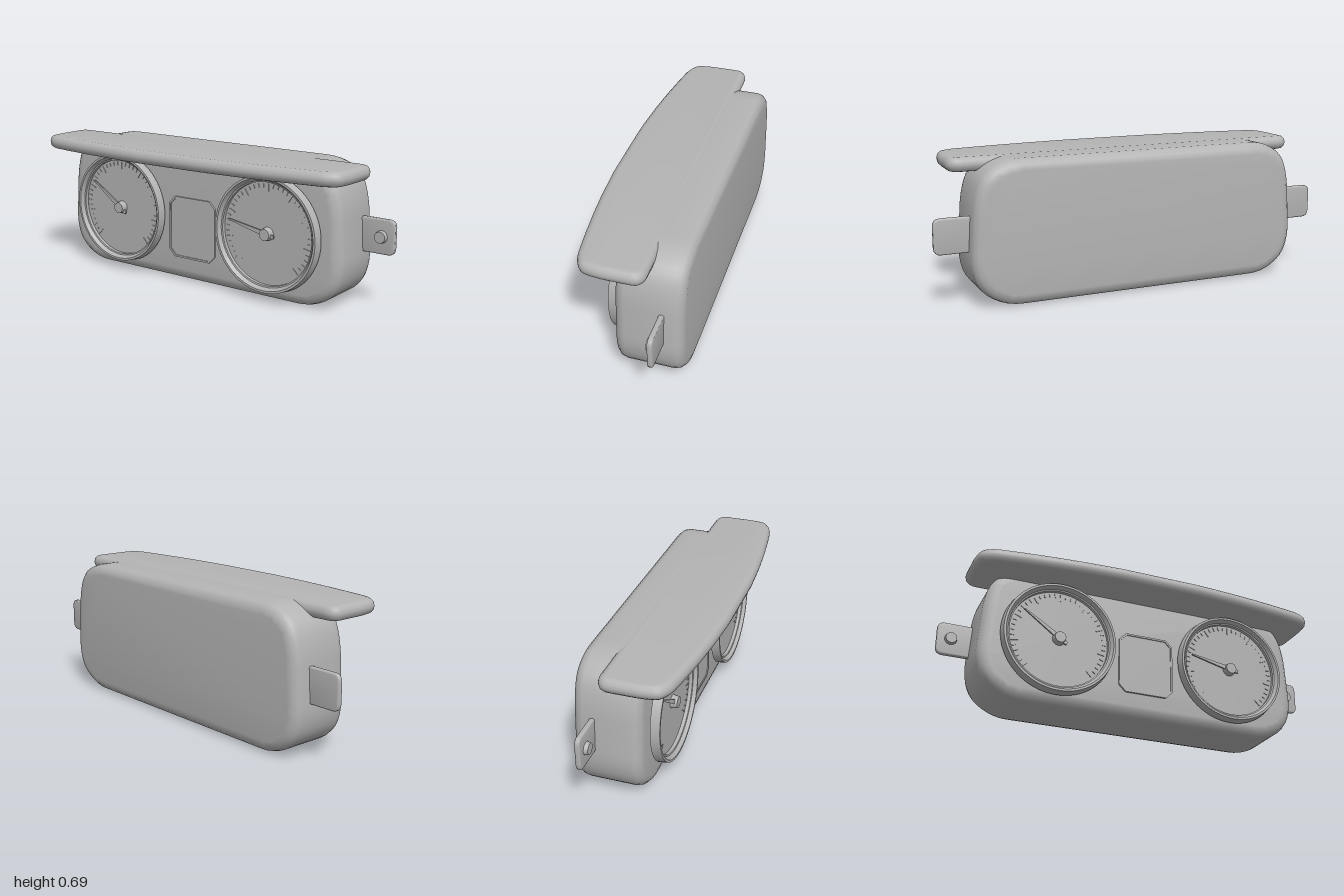
import * as THREE from 'three';
import { toCreasedNormals } from 'three/addons/utils/BufferGeometryUtils.js';

const grey = new THREE.MeshStandardMaterial({ color: 0xb4b4b4 });
grey.name = 'plain grey';

function add(parent, name, geometry, x = 0, y = 0, z = 0) {
  const mesh = new THREE.Mesh(geometry, grey);
  mesh.name = name;
  mesh.position.set(x, y, z);
  parent.add(mesh);
  return mesh;
}

// Closed outline through points, each corner rounded by up to r
function outline(points, r, Type = THREE.Shape) {
  const shape = new Type();
  const p = points.map(([x, y]) => new THREE.Vector2(x, y));
  const n = p.length;
  p.forEach((c, i) => {
    const toward = (q) => c.clone().lerp(q, Math.min(0.5, r / c.distanceTo(q)));
    const a = toward(p[(i + n - 1) % n]);
    const b = toward(p[(i + 1) % n]);
    if (i === 0) shape.moveTo(a.x, a.y);
    else shape.lineTo(a.x, a.y);
    shape.quadraticCurveTo(c.x, c.y, b.x, b.y);
  });
  shape.closePath();
  return shape;
}

// Slab from z = 0 to z = thickness with bevelled rims
function slab(shape, thickness, bevel, curveSegments = 4) {
  const geo = new THREE.ExtrudeGeometry(shape, {
    depth: thickness - 2 * bevel, bevelEnabled: bevel > 0, bevelThickness: bevel,
    bevelSize: bevel, bevelOffset: -bevel, bevelSegments: 3, curveSegments,
  });
  geo.translate(0, 0, bevel);
  return toCreasedNormals(geo, 0.7);
}

const mirrored = (half) => [...half, ...half.slice().reverse().map(([x, y]) => [-x, y])];

function chamferedRect(w, h, c) {
  const x = w / 2, y = h / 2;
  return [[x - c, -y], [x, -y + c], [x, y - c], [x - c, y], [-x + c, y], [-x, y - c], [-x, -y + c], [-x + c, -y]];
}

function makeGauge(name, x, needleAngle) {
  const gauge = new THREE.Group();
  gauge.name = name;
  gauge.position.set(x, 0.33, 0.062);

  // Bezel ring with stepped inner lip
  const profile = [[0.25, 0], [0.287, 0], [0.281, 0.044], [0.27, 0.044], [0.257, 0.026], [0.25, 0.024], [0.25, 0]]
    .map(([r, h]) => new THREE.Vector2(r, h));
  const ring = new THREE.LatheGeometry(profile, 64).rotateX(Math.PI / 2);
  add(gauge, 'bezel', toCreasedNormals(ring, 0.5));

  const face = new THREE.CylinderGeometry(0.253, 0.253, 0.006, 64).rotateX(Math.PI / 2);
  add(gauge, 'dialFace', face, 0, 0, 0.003);

  // Scale marks over three quarters of the dial
  const scale = new THREE.Group();
  scale.name = 'scaleMarks';
  gauge.add(scale);
  for (let i = 0; i <= 40; i++) {
    const a = THREE.MathUtils.degToRad(225 - i * 6.75);
    const length = i % 5 === 0 ? 0.036 : 0.018;
    const r = 0.24 - length / 2;
    const mark = add(scale, 'scaleMark', new THREE.BoxGeometry(length, 0.004, 0.004),
      r * Math.cos(a), r * Math.sin(a), 0.008);
    mark.rotation.z = a;
  }

  // Tapered needle with a short tail
  const pointer = new THREE.Shape([[-0.045, -0.008], [0, -0.012], [0.218, -0.003], [0.218, 0.003], [0, 0.012], [-0.045, 0.008]]
    .map(([px, py]) => new THREE.Vector2(px, py)));
  add(gauge, 'needle', slab(pointer, 0.008, 0), 0, 0, 0.018).rotation.z = needleAngle;

  const hub = new THREE.CylinderGeometry(0.028, 0.033, 0.032, 16).rotateX(Math.PI / 2);
  add(gauge, 'needleHub', hub, 0, 0, 0.022);
  return gauge;
}

export function createModel() {
  const model = new THREE.Group();
  model.name = 'instrumentCluster';

  // Housing, slightly wider towards the bottom
  const body = outline(mirrored([
    [0.68, 0], [0.805, 0.075], [0.845, 0.19], [0.825, 0.5], [0.785, 0.625], [0.67, 0.684],
  ]), 0.07);
  add(model, 'housing', slab(body, 0.32, 0.05), 0, 0, -0.27);

  // Hood with a bowed front edge; plan drawn as x, -z
  const hoodHalf = [[0.87, 0.12], [0.905, 0.09], [0.905, -0.08], [0.892, -0.165], [0.83, -0.2]];
  for (const x of [0.7, 0.55, 0.4, 0.2]) hoodHalf.push([x, -0.268 + 0.068 * (x / 0.83) ** 2]);
  const hood = slab(outline(mirrored(hoodHalf), 0.03), 0.068, 0.03);
  hood.rotateX(-Math.PI / 2);
  add(model, 'hood', hood, 0, 0.617, 0);

  // Dials
  model.add(makeGauge('rightGauge', -0.46, Math.PI - 0.594));
  model.add(makeGauge('leftGauge', 0.46, Math.PI - 0.205));

  // Centre display: raised frame around a plate
  const display = new THREE.Group();
  display.name = 'centreDisplay';
  display.position.set(0, 0.277, 0.053);
  model.add(display);
  const frame = new THREE.Shape(chamferedRect(0.286, 0.314, 0.035).map(([x, y]) => new THREE.Vector2(x, y)));
  frame.holes.push(outline(chamferedRect(0.268, 0.296, 0.031), 0.002, THREE.Path));
  add(display, 'displayFrame', slab(frame, 0.01, 0));
  const screen = outline(chamferedRect(0.27, 0.298, 0.032), 0.002);
  add(display, 'screen', slab(screen, 0.004, 0), 0, 0, 0.001);

  // Mounting tabs with screws
  for (const side of [1, -1]) {
    const mount = new THREE.Group();
    mount.name = side > 0 ? 'leftMount' : 'rightMount';
    mount.position.set(side * 0.9, 0.344, -0.185);
    model.add(mount);
    const tab = outline([[-0.1, -0.084], [0.1, -0.084], [0.1, 0.084], [-0.1, 0.084]], 0.035);
    add(mount, 'tab', slab(tab, 0.024, 0.007));
    const screw = new THREE.CylinderGeometry(0.027, 0.031, 0.022, 20).rotateX(Math.PI / 2);
    add(mount, 'screw', screw, side * 0.032, 0, 0.032);
  }
  return model;
}
